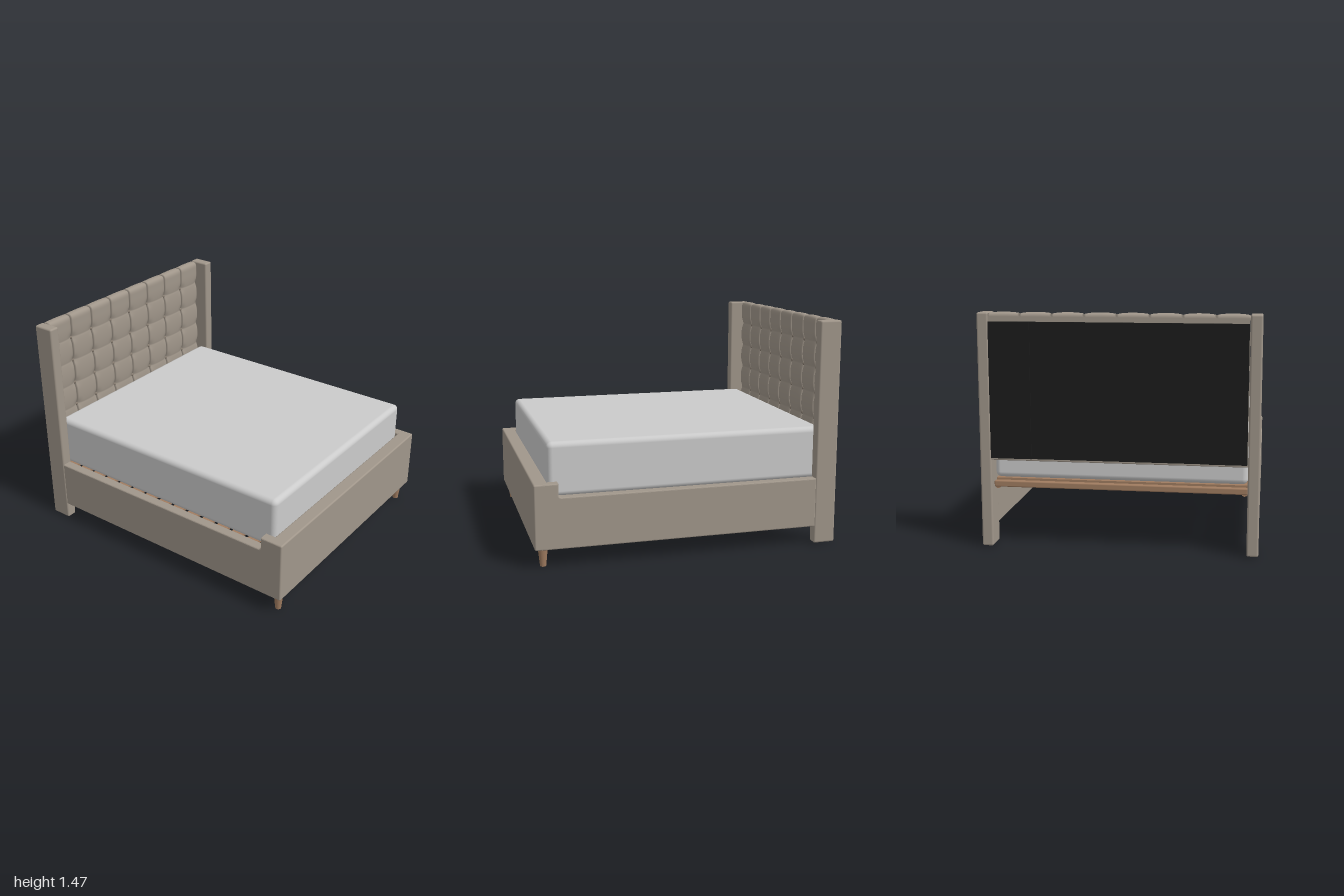
import * as THREE from 'three';
import { RoundedBoxGeometry } from 'three/addons/geometries/RoundedBoxGeometry.js';
import { ParametricGeometry } from 'three/addons/geometries/ParametricGeometry.js';

const material = (name, color, side = THREE.FrontSide) => {
  const m = new THREE.MeshStandardMaterial({ color, side });
  m.name = name;
  return m;
};

export function createModel() {
  const fabric = material('taupe fabric', 0xa0968a);
  const linen = material('mattress grey', 0xcbcbcb);
  const wood = material('wood', 0xa07c60);
  const black = material('black backing', 0x1c1c1c);
  const buttonFabric = material('button fabric', 0x877c70);

  const model = new THREE.Group();
  model.name = 'bed';
  const add = (name, geometry, mat, x = 0, y = 0, z = 0) => {
    const mesh = new THREE.Mesh(geometry, mat);
    mesh.name = name;
    mesh.position.set(x, y, z);
    model.add(mesh);
    return mesh;
  };
  // Rounded box given by its min and max corners
  const block = (name, mat, [x0, y0, z0], [x1, y1, z1], radius) =>
    add(name, new RoundedBoxGeometry(x1 - x0, y1 - y0, z1 - z0, 4, radius), mat,
      (x0 + x1) / 2, (y0 + y1) / 2, (z0 + z1) / 2);

  // Mattress and footboard
  block('mattress', linen, [-0.79, 0.43, -0.9], [0.79, 0.772, 0.905], 0.035);
  block('footboard', fabric, [-0.86, 0.12, 0.91], [0.86, 0.532, 1], 0.01);

  // Side rail with a raised wing next to the footboard
  const rail = new THREE.Shape();
  rail.moveTo(-0.84, 0.12);
  rail.lineTo(0.96, 0.12);
  rail.lineTo(0.96, 0.532);
  rail.lineTo(0.848, 0.532);
  rail.lineTo(0.848, 0.465);
  rail.quadraticCurveTo(0.848, 0.445, 0.828, 0.445);
  rail.lineTo(-0.84, 0.445);
  rail.closePath();
  const bevel = 0.008, railWidth = 0.065;
  const railGeometry = new THREE.ExtrudeGeometry(rail, {
    depth: railWidth - 2 * bevel, bevelSize: bevel, bevelThickness: bevel,
    bevelOffset: -bevel, bevelSegments: 3, curveSegments: 6,
  });
  railGeometry.translate(0, 0, -railWidth / 2 + bevel).rotateY(-Math.PI / 2);

  // Posts, rails, ledgers and front legs, mirrored
  const legGeometry = new THREE.CylinderGeometry(0.032, 0.019, 0.125, 24);
  const ledgerGeometry = new THREE.CylinderGeometry(0.02, 0.02, 1.81, 16).rotateX(Math.PI / 2);
  for (const [side, s] of [['left', 1], ['right', -1]]) {
    const post = block(`${side}Post`, fabric, [-0.036, 0.005, -0.98], [0.036, 1.468, -0.835], 0.012);
    post.position.x = s * 0.825;
    add(`${side}Rail`, railGeometry, fabric, s * 0.8275);
    add(`${side}Ledger`, ledgerGeometry, wood, s * 0.77, 0.382, -0.005);
    add(`${side}FrontLeg`, legGeometry, wood, s * 0.79, 0.0625, 0.943);
  }

  // Slatted base
  block('rearCrossbar', wood, [-0.79, 0.375, -0.925], [0.79, 0.415, -0.888], 0.008);
  const slatGeometry = new THREE.BoxGeometry(1.58, 0.02, 0.08);
  const slats = 15;
  for (let i = 0; i < slats; i++) {
    add('slat', slatGeometry, wood, 0, 0.412, -0.83 + (i * 1.68) / (slats - 1));
  }

  // Tufted headboard: a rounded section swept across x and pressed in at the seams
  const section = new THREE.Path();
  section.moveTo(-0.95, 0.56);
  section.quadraticCurveTo(-0.915, 0.56, -0.915, 0.6);
  section.lineTo(-0.915, 1.43);
  section.quadraticCurveTo(-0.915, 1.472, -0.95, 1.472);
  section.quadraticCurveTo(-0.985, 1.472, -0.985, 1.445);
  section.lineTo(-0.985, 0.56);
  section.lineTo(-0.95, 0.56);
  const stepX = 0.197, stepY = 0.17, rowTop = 1.3;
  const press = (x, y, z) => {
    const seam = Math.pow(Math.abs(Math.sin((Math.PI * x) / stepX)), 0.45);
    const row = y < rowTop + stepY / 2 ? Math.pow(Math.abs(Math.sin((Math.PI * (y - rowTop)) / stepY)), 0.7) : 1;
    const dx = x - Math.round(x / stepX) * stepX;
    const dy = y - rowTop - Math.min(0, Math.round((y - rowTop) / stepY)) * stepY;
    const dimple = Math.exp(-(dx * dx + dy * dy) / 0.0009);
    const front = THREE.MathUtils.clamp((z + 0.985) / 0.03, 0, 1);
    return front * (0.012 * (1 - seam) + 0.007 * (1 - row) + 0.01 * dimple);
  };
  const cushion = new ParametricGeometry((u, v, target) => {
    const x = (u - 0.5) * 8 * stepX;
    const p = section.getPoint(v), t = section.getTangent(v);
    const d = press(x, p.y, p.x);
    target.set(x, p.y + t.x * d, p.x - t.y * d);
  }, 128, 180);
  add('headboardCushion', cushion, fabric);

  // Buttons where the seams cross
  const buttonGeometry = new THREE.SphereGeometry(0.011, 14, 10).scale(1, 1, 0.7);
  for (let row = 0; row < 5; row++) {
    for (let col = -3; col <= 3; col++) {
      add('button', buttonGeometry, buttonFabric, col * stepX, rowTop - row * stepY, -0.938);
    }
  }

  // Black backing: a recessed middle and two prouder sides
  add('backingMiddle', new THREE.BoxGeometry(1.08, 0.84, 0.012), black, 0, 0.995, -0.988);
  for (const s of [1, -1]) {
    add('backingSide', new THREE.BoxGeometry(0.255, 0.84, 0.02), black, s * 0.657, 0.995, -0.99);
  }

  return model;
}
